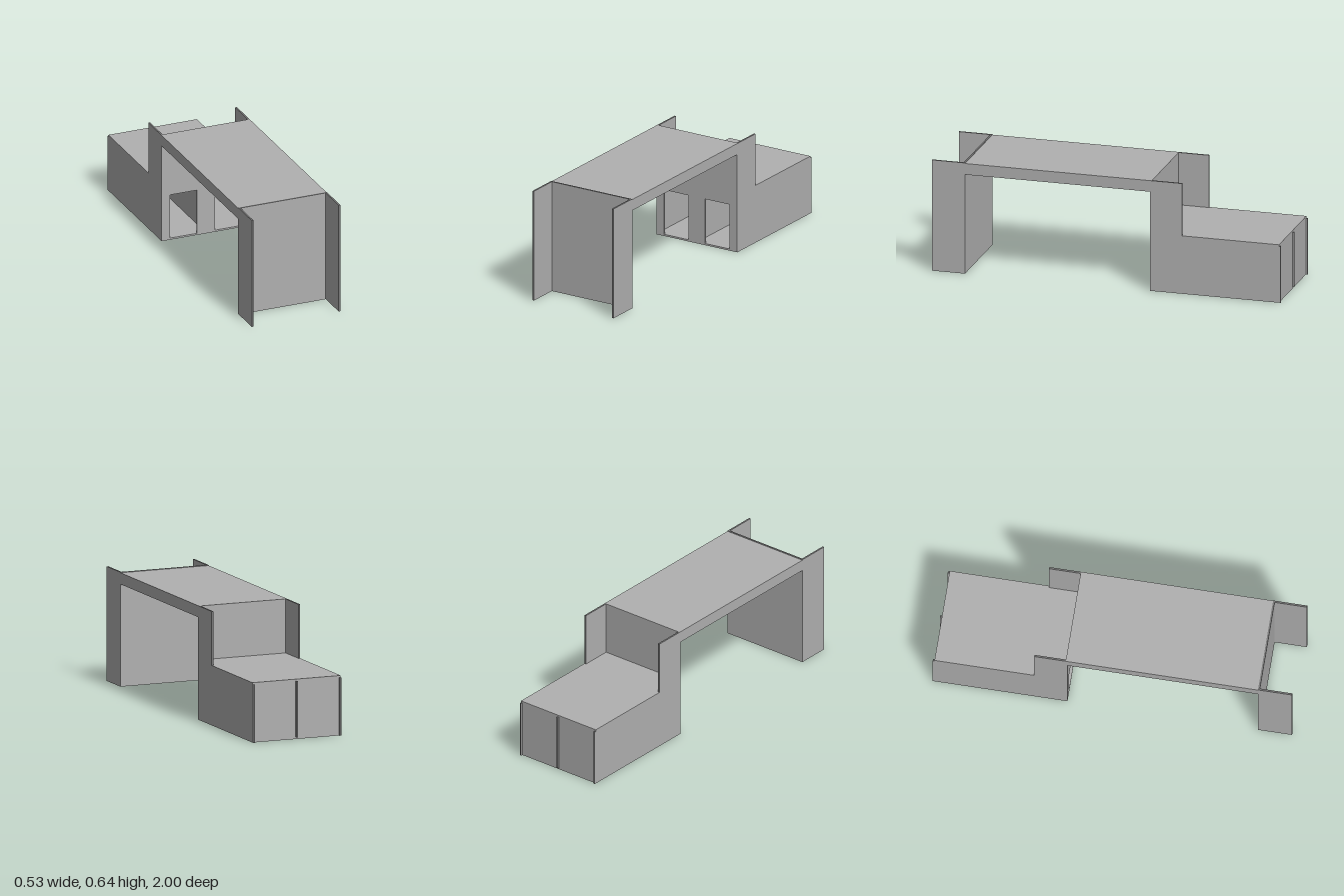
import * as THREE from 'three';

const W = 0.53;   // overall width
const T = 0.01;   // board thickness

export function createModel() {
  const group = new THREE.Group();
  const board = new THREE.MeshStandardMaterial({ color: 0xb0b0b0 });
  board.name = 'greyBoard';
  const edge = new THREE.MeshStandardMaterial({ color: 0x787878 });
  edge.name = 'darkEdge';

  const add = (name, geometry, material) => {
    const mesh = new THREE.Mesh(geometry, material);
    mesh.name = name;
    group.add(mesh);
    return mesh;
  };

  // Box given by its lower and upper limits on each axis
  const box = (name, x0, x1, y0, y1, z0, z1, material = board) => {
    const mesh = add(name, new THREE.BoxGeometry(x1 - x0, y1 - y0, z1 - z0), material);
    mesh.position.set((x0 + x1) / 2, (y0 + y1) / 2, (z0 + z1) / 2);
    return mesh;
  };

  // Upright board facing sideways, with dark edges all round
  const uprightFaces = [board, board, edge, edge, edge, edge];
  const h = W / 2;

  // Desk top and the end wall that carries it
  box('deskTop', -h, h, 0.573, 0.637, -0.25, 0.81);
  box('frontLegWall', -h, h, 0, 0.64, 0.81, 0.82, [board, board, edge, edge, board, board]);

  // Cabinet side in z and y: low box with a tall part next to the desk
  const side = new THREE.Shape([
    [-0.26, T], [-0.26, 0.637], [-0.435, 0.637], [-0.435, 0.325],
    [-1, 0.325], [-1, 0],  [-0.99, 0], [-0.99, T],
  ].map(([z, y]) => new THREE.Vector2(z, y)));
  const sideGeometry = new THREE.ExtrudeGeometry(side, { depth: T, bevelEnabled: false });
  sideGeometry.rotateY(-Math.PI / 2);

  for (const [label, x] of [['left', h], ['right', -h + T]]) {
    box(label + 'FrontFin', x - T, x, 0, 0.64, 0.82, 1, uprightFaces);
    add(label + 'CabinetSide', sideGeometry, [board, edge]).position.x = x;
  }

  // Cabinet front wall with two openings
  const wall = new THREE.Shape([
    new THREE.Vector2(-h, 0), new THREE.Vector2(h, 0),
    new THREE.Vector2(h, 0.637), new THREE.Vector2(-h, 0.637),
  ]);
  for (const cx of [-0.134, 0.134]) {
    wall.holes.push(new THREE.Path([
      new THREE.Vector2(cx - 0.081, T), new THREE.Vector2(cx - 0.081, 0.27),
      new THREE.Vector2(cx + 0.081, 0.27), new THREE.Vector2(cx + 0.081, T),
    ]));
  }
  add('cabinetFrontWall', new THREE.ExtrudeGeometry(wall, { depth: T, bevelEnabled: false }), board)
    .position.z = -0.26;

  // Cabinet boards; the top narrows between the tall sides
  box('cabinetBottom', -h, h, 0, T, -0.99, -0.26);
  box('cabinetTop', -h, h, 0.325, 0.335, -0.99, -0.435);
  box('cabinetTopInner', -h + T, h - T, 0.325, 0.335, -0.435, -0.26);
  box('cabinetDivider', -T / 2, T / 2, T, 0.325, -1, -0.26, uprightFaces);

  // Back panels set in slightly between the uprights
  box('leftBackPanel', T / 2, h - T, T, 0.325, -0.99, -0.98);
  box('rightBackPanel', -h + T, -T / 2, T, 0.325, -0.99, -0.98);

  return group;
}
